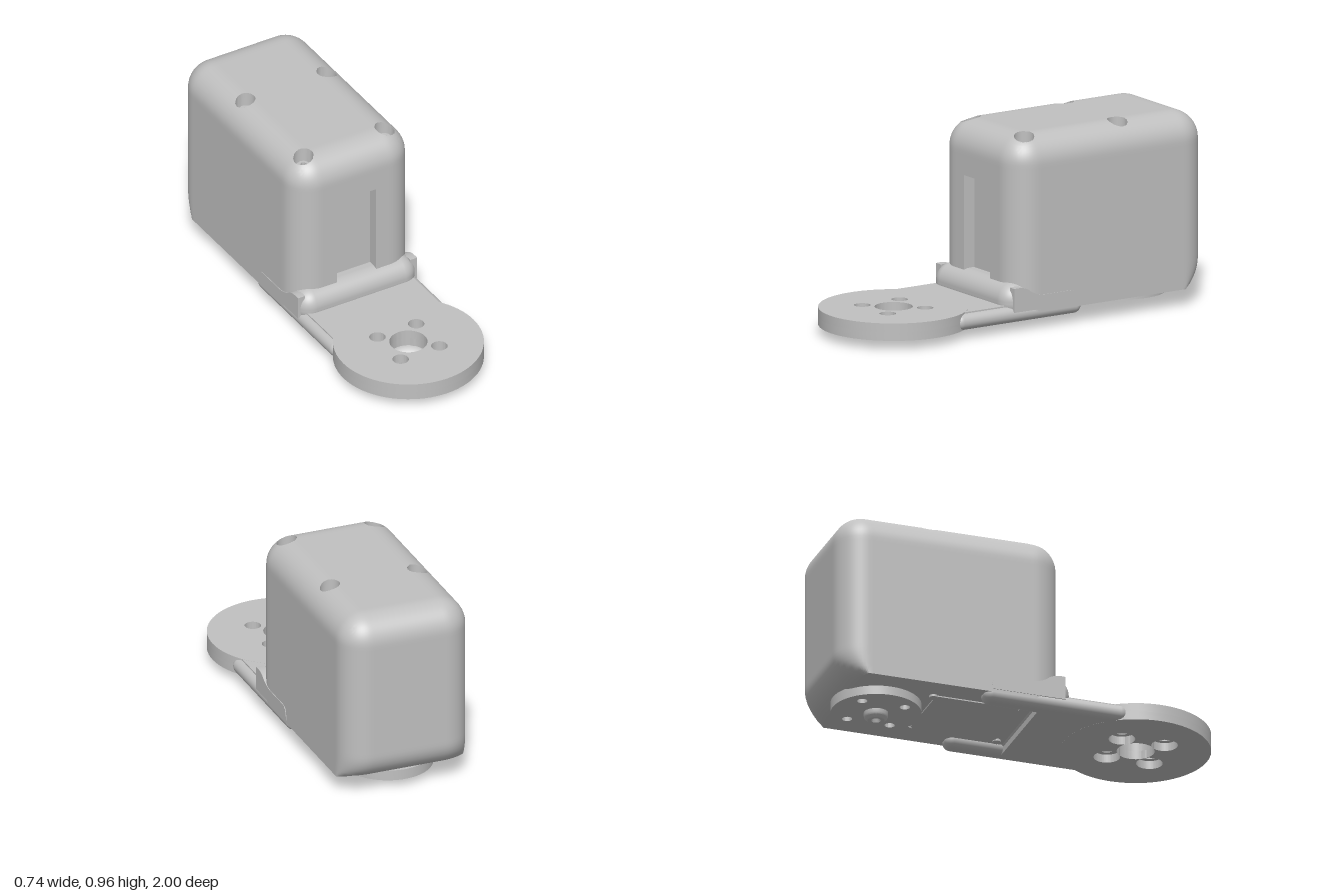
import * as THREE from 'three';
import { mergeVertices, toCreasedNormals } from 'three/addons/utils/BufferGeometryUtils.js';
import { RoundedBoxGeometry } from 'three/addons/geometries/RoundedBoxGeometry.js';

const grey = new THREE.MeshStandardMaterial({ color: 0xc0c0c0, side: THREE.DoubleSide });
grey.name = 'light grey';

// Housing limits and edge radius
const HX = 0.335, Y0 = 0.085, Y1 = 0.96, ZB = -1, ZF = 0.14, R = 0.14;
const PITS = [];
for (const x of [-0.23, 0.23]) for (const z of [0.02, -0.53]) PITS.push([x, z]);
const PIT_R = 0.05;

// Height of the rounded housing top at a plan position
function topHeight(x, z) {
  const dx = Math.max(Math.abs(x) - (HX - R), 0);
  const dz = Math.max(z - (ZF - R), ZB + R - z, 0);
  return Y1 - R + Math.sqrt(Math.max(R * R - dx * dx - dz * dz, 0));
}

// Rounded shell with screw pits cut in the top and a slot cut in the front
function housingGeometry() {
  let geo = new THREE.BoxGeometry(2 * HX, Y1 - Y0, ZF - ZB, 36, 44, 58);
  geo.translate(0, (Y0 + Y1) / 2, (ZF + ZB) / 2);
  geo.deleteAttribute('normal');
  geo.deleteAttribute('uv');
  geo = mergeVertices(geo, 1e-5);
  const pos = geo.attributes.position;
  const p = new THREE.Vector3(), inner = new THREE.Vector3();
  const min = new THREE.Vector3(-HX + R, -9, ZB + R), max = new THREE.Vector3(HX - R, Y1 - R, ZF - R);
  const pitOf = [];
  for (let i = 0; i < pos.count; i++) {
    p.fromBufferAttribute(pos, i);
    inner.copy(p).clamp(min, max);
    p.sub(inner);
    if (p.lengthSq() > 1e-10) p.setLength(R);
    p.add(inner);
    // Only the back edge is rounded at the bottom
    if (p.z < ZB + R && p.y < Y0 + R) {
      const t = 0.98 * (Y0 + R - p.y) / R;
      p.z = ZB + R + (p.z - ZB - R) * Math.sqrt(1 - t * t);
    }
    pos.setXYZ(i, p.x, p.y, p.z);
    pitOf[i] = p.y > 0.85 ? PITS.find(([x, z]) => Math.hypot(p.x - x, p.z - z) < PIT_R) : undefined;
  }
  const src = geo.index.array, kept = [];
  for (let k = 0; k < src.length; k += 3) {
    const tri = [src[k], src[k + 1], src[k + 2]];
    if (tri.every(i => pitOf[i])) continue;
    const inSlot = tri.every(i => pos.getZ(i) > ZF - 0.001 && Math.abs(pos.getX(i)) < 0.113 &&
      pos.getY(i) > 0.222 && pos.getY(i) < 0.704);
    if (!inSlot) kept.push(...tri);
  }
  // Pull the rim of each pit out to a true circle
  pitOf.forEach((pit, i) => {
    if (!pit) return;
    const a = Math.atan2(pos.getZ(i) - pit[1], pos.getX(i) - pit[0]);
    const x = pit[0] + PIT_R * Math.cos(a), z = pit[1] + PIT_R * Math.sin(a);
    pos.setXYZ(i, x, topHeight(x, z), z);
  });
  geo.setIndex(kept);
  return toCreasedNormals(geo, 0.6);
}

// Pit wall, floor and screw head, with the rim following the housing top
function pitGeometry([px, pz]) {
  const profile = [[0, 0.885], [0.015, 0.885], [0.015, 0.9], [0.03, 0.9], [0.03, 0.88], [PIT_R, 0.88], [PIT_R, 1]];
  const geo = new THREE.LatheGeometry(profile.map(q => new THREE.Vector2(...q)), 32);
  geo.translate(px, 0, pz);
  const pos = geo.attributes.position;
  for (let i = 0; i < pos.count; i++)
    if (pos.getY(i) > 0.95) pos.setY(i, topHeight(pos.getX(i), pos.getZ(i)));
  return toCreasedNormals(geo, 0.5);
}

// Flat plate from a plan outline (x, z), between two heights
function plate(shape, y0, y1) {
  const geo = new THREE.ExtrudeGeometry(shape, { depth: y1 - y0, bevelEnabled: false, curveSegments: 40 });
  geo.rotateX(Math.PI / 2);
  geo.translate(0, y1, 0);
  return toCreasedNormals(geo, 0.5);
}

// Disc outline with an optional centre hole and four holes around it
function discShape(z, radius, centreHole, smallHole) {
  const shape = new THREE.Shape().absarc(0, z, radius, 0, Math.PI * 2);
  const cut = (x, hz, r) => shape.holes.push(new THREE.Path().absarc(x, hz, r, 0, Math.PI * 2, true));
  if (centreHole) cut(0, z, centreHole);
  for (const sx of [-1, 1]) for (const sz of [-1, 1]) cut(sx * 0.11, z + sz * 0.11, smallHole);
  return shape;
}

export function createModel() {
  const model = new THREE.Group();
  model.name = 'servoBracket';
  const add = (name, geo, x = 0, y = 0, z = 0) => {
    const mesh = new THREE.Mesh(geo, grey);
    mesh.name = name;
    mesh.position.set(x, y, z);
    model.add(mesh);
    return mesh;
  };

  // Housing, screw pits and front slot
  add('housing', housingGeometry());
  PITS.forEach(pit => add('screwPit', pitGeometry(pit)));
  const pocket = new THREE.BoxGeometry(0.223, 0.478, 0.06);
  pocket.setIndex([...pocket.index.array].filter((_, i) => i < 24 || i > 29)); // open at the front
  add('frontSlot', pocket, 0, 0.463, ZF - 0.03);

  // Mounting disc, counterbored from below
  add('mountDiscTop', plate(discShape(0.632, 0.368, 0.093, 0.04), 0.0875, 0.132));
  add('mountDiscBottom', plate(discShape(0.632, 0.368, 0.093, 0.065), 0.045, 0.0875));

  // Neck between disc and housing
  add('neck', new THREE.BoxGeometry(0.6, 0.086, 0.39), 0, 0.0885, 0.225);

  // Rounded side arms and the skirts above them
  const skirt = new THREE.Shape();
  skirt.moveTo(0.15, 0.1);
  skirt.lineTo(0.15, 0.22);
  skirt.quadraticCurveTo(0.09, 0.225, 0.06, 0.2);
  skirt.quadraticCurveTo(0.02, 0.17, -0.04, 0.17);
  skirt.lineTo(-0.19, 0.17);
  skirt.quadraticCurveTo(-0.23, 0.165, -0.23, 0.1);
  for (const s of [-1, 1]) {
    add('sideArm', new RoundedBoxGeometry(0.105, 0.08, 0.74, 5, 0.0395), s * 0.2825, 0.085, 0.11);
    const geo = new THREE.ExtrudeGeometry(skirt, { depth: 0.04, bevelEnabled: false });
    geo.rotateY(-Math.PI / 2); // profile runs along z
    add('sideSkirt', toCreasedNormals(geo, 0.5), s > 0 ? 0.338 : -0.298);
  }

  // Rounded lip in front of the housing
  add('frontLip', new RoundedBoxGeometry(0.672, 0.18, 0.19, 6, 0.085), 0, 0.145, 0.097);

  // Underside of the motor
  add('motorPanel', new THREE.BoxGeometry(0.4, 0.008, 0.44), 0, 0.083, -0.25);
  for (const x of [-0.19, 0.19]) for (const z of [-0.02, -0.48])
    add('motorScrew', new THREE.CylinderGeometry(0.022, 0.022, 0.012, 16), x, 0.08, z);

  // Output horn and its centre screw
  add('horn', plate(discShape(-0.71, 0.222, 0, 0.025), 0.04, 0.093));
  const head = [[0, 0.02], [0.018, 0.02], [0.024, 0], [0.042, 0], [0.056, 0.012], [0.06, 0.022], [0.06, 0.045]];
  add('hornScrew', toCreasedNormals(new THREE.LatheGeometry(head.map(q => new THREE.Vector2(...q)), 24), 0.5), 0, 0, -0.71);

  return model;
}
